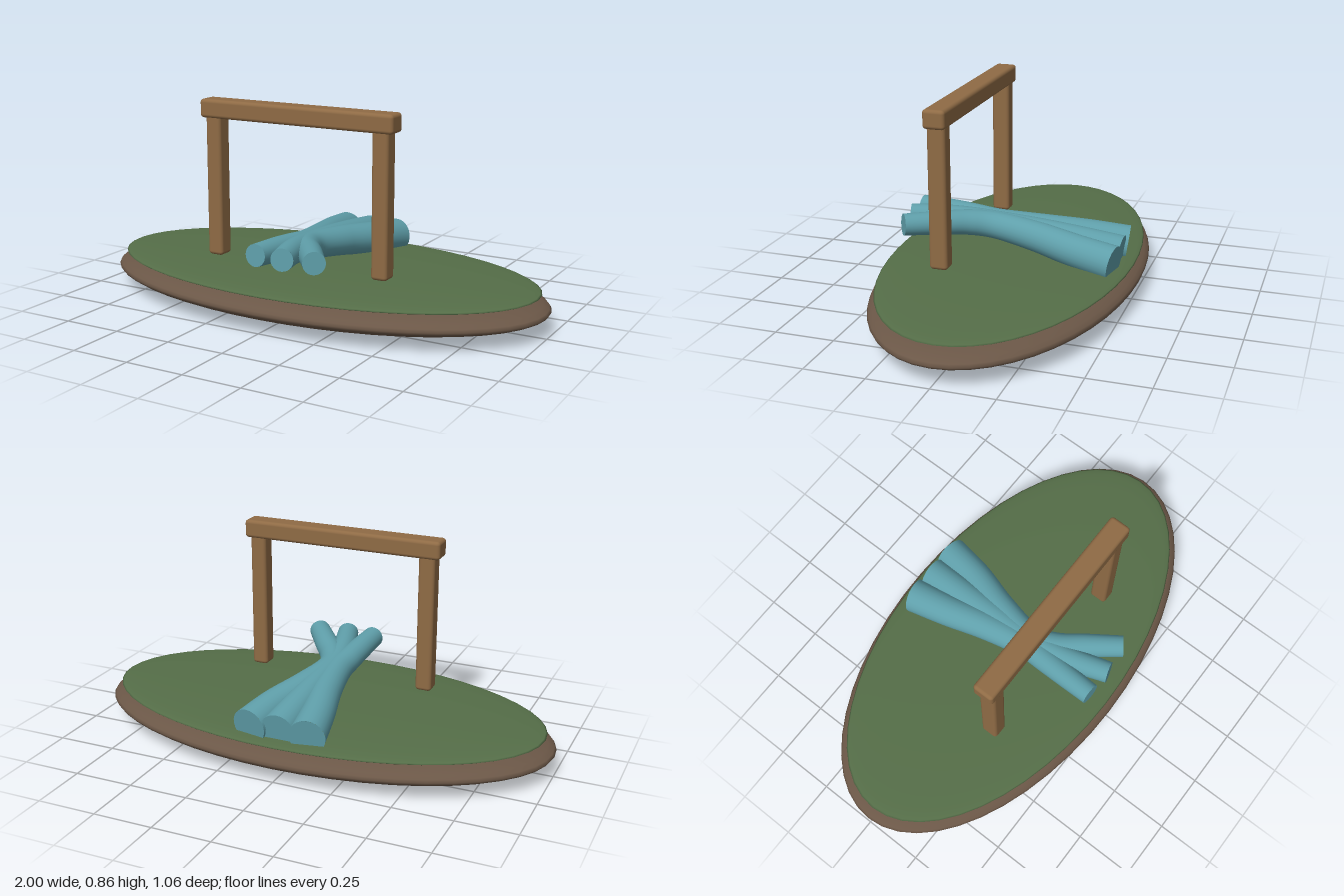
import * as THREE from 'three';
import { RoundedBoxGeometry } from 'three/addons/geometries/RoundedBoxGeometry.js';

const material = (name, color) => {
  const m = new THREE.MeshStandardMaterial({ color });
  m.name = name;
  return m;
};

export function createModel() {
  const group = new THREE.Group();
  const soil = material('soil brown', 0x6b5747);
  const grass = material('grass green', 0x556e48);
  const wood = material('wood brown', 0x8f6b45);
  const blue = material('stream blue', 0x5f9faa);

  const add = (parent, name, geometry, mat, x = 0, y = 0, z = 0) => {
    const mesh = new THREE.Mesh(geometry, mat);
    mesh.name = name;
    mesh.position.set(x, y, z);
    parent.add(mesh);
    return mesh;
  };

  // Flattened mound with a thin grass lens on top
  const lens = (rx, ry, rz) => new THREE.SphereGeometry(1, 48, 24).scale(rx, ry, rz);
  add(group, 'soilBase', lens(1, 0.087, 0.53), soil, 0, 0.088, 0);
  add(group, 'grassTop', lens(0.96, 0.028, 0.505), grass, 0, 0.152, 0);

  // Gate: two posts and a crossbeam
  const gate = new THREE.Group();
  gate.name = 'gate';
  group.add(gate);
  for (const side of [-1, 1]) {
    add(gate, side > 0 ? 'leftPost' : 'rightPost',
      new RoundedBoxGeometry(0.07, 0.61, 0.076, 3, 0.015), wood, side * 0.385, 0.508, 0.195);
  }
  add(gate, 'crossbeam', new RoundedBoxGeometry(0.885, 0.078, 0.092, 3, 0.015), wood, 0, 0.824, 0.195);

  // Tapered tube along a curve, closed by a flat disc at each end
  const strand = (name, points, r0, r1) => {
    const part = new THREE.Group();
    part.name = name;
    const curve = new THREE.CatmullRomCurve3(points.map((p) => new THREE.Vector3(...p)));
    const steps = 40, sides = 24;
    const tube = new THREE.TubeGeometry(curve, steps, 1, sides, false);
    const pos = tube.attributes.position;
    const v = new THREE.Vector3();
    for (let i = 0; i < pos.count; i++) {
      const u = Math.floor(i / (sides + 1)) / steps;
      const center = curve.getPointAt(u);
      v.fromBufferAttribute(pos, i).sub(center)
        .multiplyScalar(THREE.MathUtils.lerp(r0, r1, u)).add(center);
      pos.setXYZ(i, v.x, v.y, v.z);
    }
    add(part, name + 'Body', tube, blue);
    for (const [u, r, dir] of [[0, r0, -1], [1, r1, 1]]) {
      const cap = add(part, name + (u ? 'FrontCap' : 'BackCap'), new THREE.CircleGeometry(r, sides), blue);
      cap.position.copy(curve.getPointAt(u));
      cap.quaternion.setFromUnitVectors(new THREE.Vector3(0, 0, 1),
        curve.getTangentAt(u).multiplyScalar(dir));
    }
    group.add(part);
  };

  // Three strands: spread at the back, pinched under the beam, fanned at the front
  const heights = [[-0.45, 0.2], [-0.28, 0.225], [-0.1, 0.248], [0.1, 0.268], [0.2, 0.28], [0.3, 0.29]];
  const strands = {
    rightStrand: [[-0.127, -0.097, -0.056, -0.027, -0.033, -0.039], [-0.045, 0.445]],
    middleStrand: [[0, 0, 0, 0.003, 0.014, 0.035], [0.08, 0.45]],
    leftStrand: [[0.127, 0.097, 0.045, 0.013, 0.048, 0.12], [0.212, 0.43]],
  };
  for (const [name, [xs, end]] of Object.entries(strands)) {
    const points = heights.map(([z, y], i) => [xs[i], y, z]);
    points.push([end[0], 0.299, end[1]]);
    strand(name, points, 0.075, 0.046);
  }
  return group;
}
